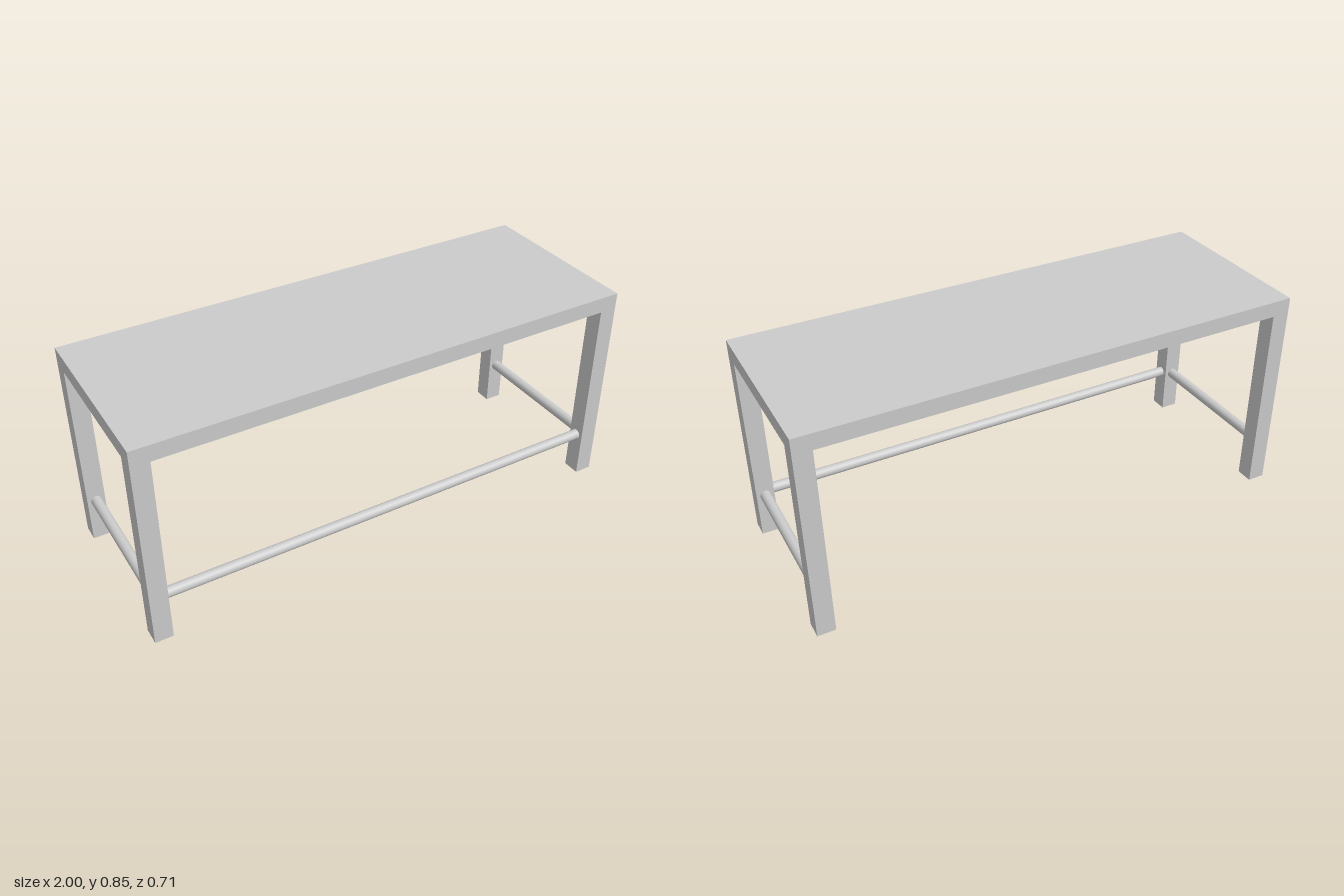
import * as THREE from 'three';

const HALF_X = 1, HALF_Z = 0.356, HEIGHT = 0.849, TOP = 0.064, LEG = 0.071;
const RAIL_Y = 0.181, RAIL_R = 0.021;

export function createModel() {
  const group = new THREE.Group();
  const material = new THREE.MeshStandardMaterial({ color: 0xcccccc });

  const add = (name, geometry, x, y, z) => {
    const mesh = new THREE.Mesh(geometry, material);
    mesh.name = name;
    mesh.position.set(x, y, z);
    group.add(mesh);
    return mesh;
  };

  // Flat slab top, flush with the outer faces of the legs
  add('tableTop', new THREE.BoxGeometry(2 * HALF_X, TOP, 2 * HALF_Z), 0, HEIGHT - TOP / 2, 0);

  // Four square legs
  const legX = HALF_X - LEG / 2, legZ = HALF_Z - LEG / 2, legH = HEIGHT - TOP;
  const legGeometry = new THREE.BoxGeometry(LEG, legH, LEG);
  for (const [side, sx] of [['Left', 1], ['Right', -1]]) {
    for (const [end, sz] of [['front', 1], ['back', -1]]) {
      add(`${end}${side}Leg`, legGeometry, sx * legX, legH / 2, sz * legZ);
    }
  }

  // Round stretcher rails between the inner leg faces: one per end, one along the front
  const rail = (length) => new THREE.CylinderGeometry(RAIL_R, RAIL_R, length, 32);
  const sideRail = rail(2 * (HALF_Z - LEG));
  add('leftRail', sideRail, legX, RAIL_Y, 0).rotation.x = Math.PI / 2;
  add('rightRail', sideRail, -legX, RAIL_Y, 0).rotation.x = Math.PI / 2;
  add('frontRail', rail(2 * (HALF_X - LEG)), 0, RAIL_Y, legZ).rotation.z = Math.PI / 2;

  return group;
}
